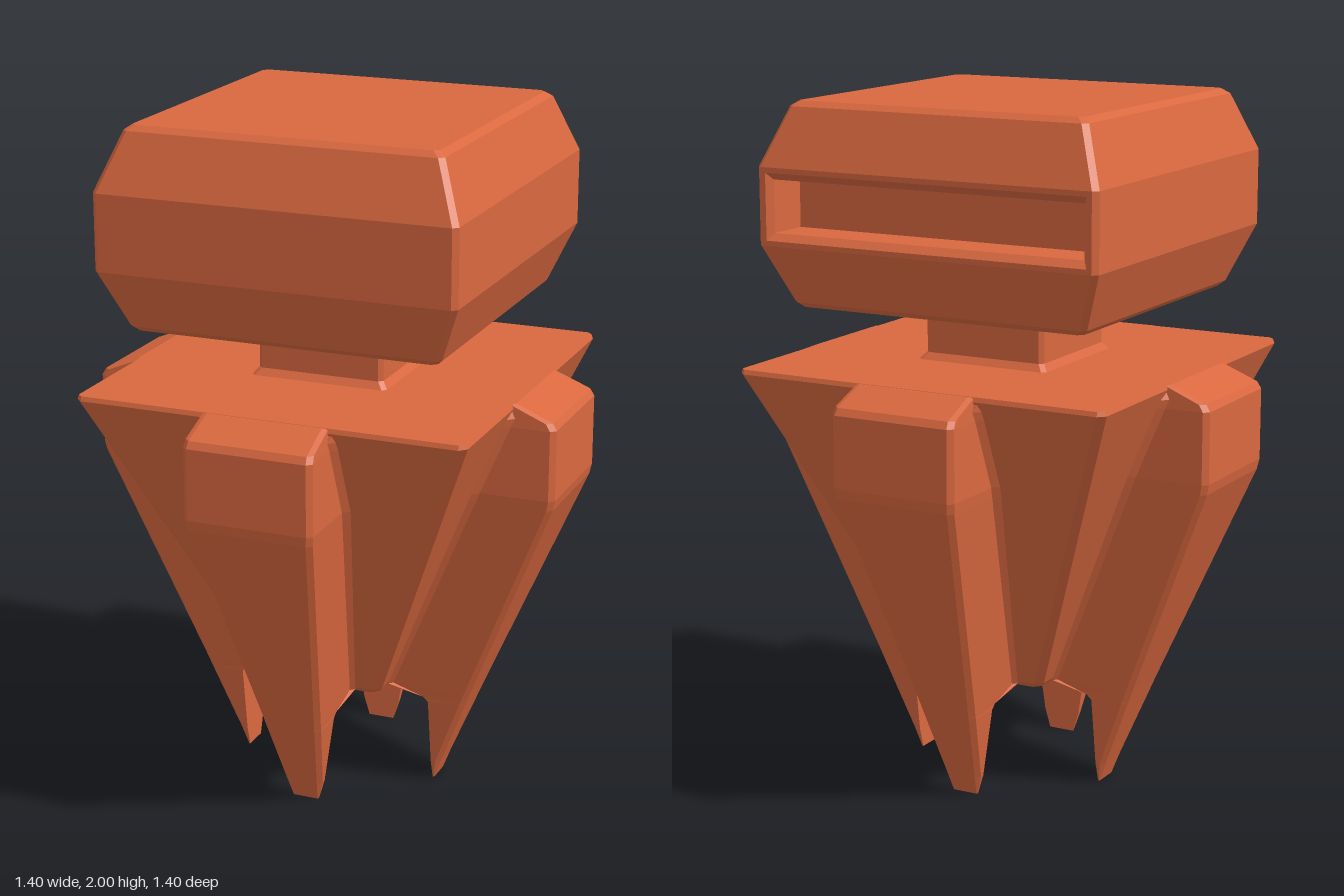
import * as THREE from 'three';

const material = new THREE.MeshStandardMaterial({ color: 0xd9683f });

// Skins a stack of equal-length rings with flat quads and caps; skip(band, side) leaves openings.
function loft(name, rings, { start = true, end = true, skip = () => false } = {}) {
  const pos = [];
  const tri = (...pts) => pts.forEach((p) => pos.push(...p));
  const n = rings[0].length;
  for (let k = 0; k < rings.length - 1; k++) {
    const a = rings[k], b = rings[k + 1];
    for (let i = 0; i < n; i++) {
      if (skip(k, i)) continue;
      const j = (i + 1) % n;
      tri(a[i], a[j], b[j]);
      tri(a[i], b[j], b[i]);
    }
  }
  const first = rings[0], last = rings[rings.length - 1];
  for (let i = 1; i < n - 1; i++) {
    if (start) tri(first[0], first[i + 1], first[i]);
    if (end) tri(last[0], last[i], last[i + 1]);
  }
  const geometry = new THREE.BufferGeometry();
  geometry.setAttribute('position', new THREE.Float32BufferAttribute(pos, 3));
  geometry.computeVertexNormals();
  const mesh = new THREE.Mesh(geometry, material);
  mesh.name = name;
  return mesh;
}

// Horizontal square of half-width r with corners cut by c; side 2 faces the back.
const square = (y, r, c) => [
  [r, y, r - c], [r, y, c - r], [r - c, y, -r], [c - r, y, -r],
  [-r, y, c - r], [-r, y, r - c], [c - r, y, r], [r - c, y, r],
];

// Upright rectangle facing the back, wound so its loft shows the inside.
const slotRing = (x, y0, y1, z) => [[-x, y0, z], [-x, y1, z], [x, y1, z], [x, y0, z]];

// Half-width of the tapered body at height y.
const bodyAt = (y) => 0.18 + 0.4 * (y - 0.31) / 0.94;

// Leg section: outer edge (yOut, out), inner edge (yIn, inner), half-width w, flare f at the body.
function legRing([yOut, out, yIn, inner, w, f]) {
  const c = Math.min(0.015, (out - inner) / 2);
  const base = f ? Math.min(bodyAt(yIn), out - c) : inner;
  const lip = Math.min(base + f, out - c);
  const half = [[w - c, yOut, out], [w, yOut, out - c], [w, yIn, lip], [w + f, yIn, base], [w + f, yIn, inner]];
  const mirrored = half.map(([x, y, z]) => [-x, y, z]).reverse();
  return [...half, ...mirrored];
}

export function createModel() {
  const model = new THREE.Group();

  // Head: bevelled block whose back face is left open for the slot
  const head = new THREE.Group();
  head.name = 'head';
  const headProfile = [[1.42, 0.445], [1.435, 0.462], [1.6, 0.53], [1.82, 0.53], [1.985, 0.465], [2, 0.445]];
  head.add(loft('headShell', headProfile.map(([y, r]) => square(y, r, 0.015)),
    { skip: (band, side) => band === 2 && side === 2 }));
  head.add(loft('slot', [
    slotRing(0.515, 1.6, 1.82, -0.53),
    slotRing(0.5, 1.615, 1.805, -0.53),
    slotRing(0.485, 1.635, 1.785, -0.51),
    slotRing(0.485, 1.635, 1.785, -0.38),
  ], { start: false }));
  model.add(head);

  // Neck with a small flare at its foot
  model.add(loft('neck', [[1.245, 0.21], [1.27, 0.19], [1.43, 0.19]].map(([y, r]) => square(y, r, 0.012))));

  // Body: upturned pyramid with trimmed corners and a thin top rim
  model.add(loft('body', [
    square(0.305, 0.17, 0.02),
    square(0.32, 0.184, 0.02),
    square(1.237, 0.577, 0.02),
    square(1.25, 0.572, 0.015),
  ]));

  // Legs: one tapering fin on each side of the body
  const legSections = [
    [0, 0.305, 0, 0.3, 0.04, 0],
    [0.06, 0.327, 0.06, 0.3, 0.058, 0],
    [0.265, 0.41, 0.265, 0.3, 0.088, 0],
    [0.275, 0.414, 0.28, 0.285, 0.089, 0],
    [0.31, 0.428, 0.312, 0.17, 0.094, 0.012],
    [0.95, 0.694, 0.95, 0.4, 0.186, 0.02],
    [0.98, 0.7, 0.98, 0.41, 0.19, 0.02],
    [1.185, 0.7, 1.185, 0.5, 0.19, 0.02],
    [1.205, 0.688, 1.21, 0.51, 0.188, 0.02],
    [1.249, 0.58, 1.249, 0.54, 0.185, 0.02],
  ];
  const names = ['frontLeg', 'leftLeg', 'backLeg', 'rightLeg'];
  names.forEach((name, i) => {
    const leg = loft(name, legSections.map(legRing));
    leg.rotation.y = i * Math.PI / 2;
    model.add(leg);
  });

  return model;
}
